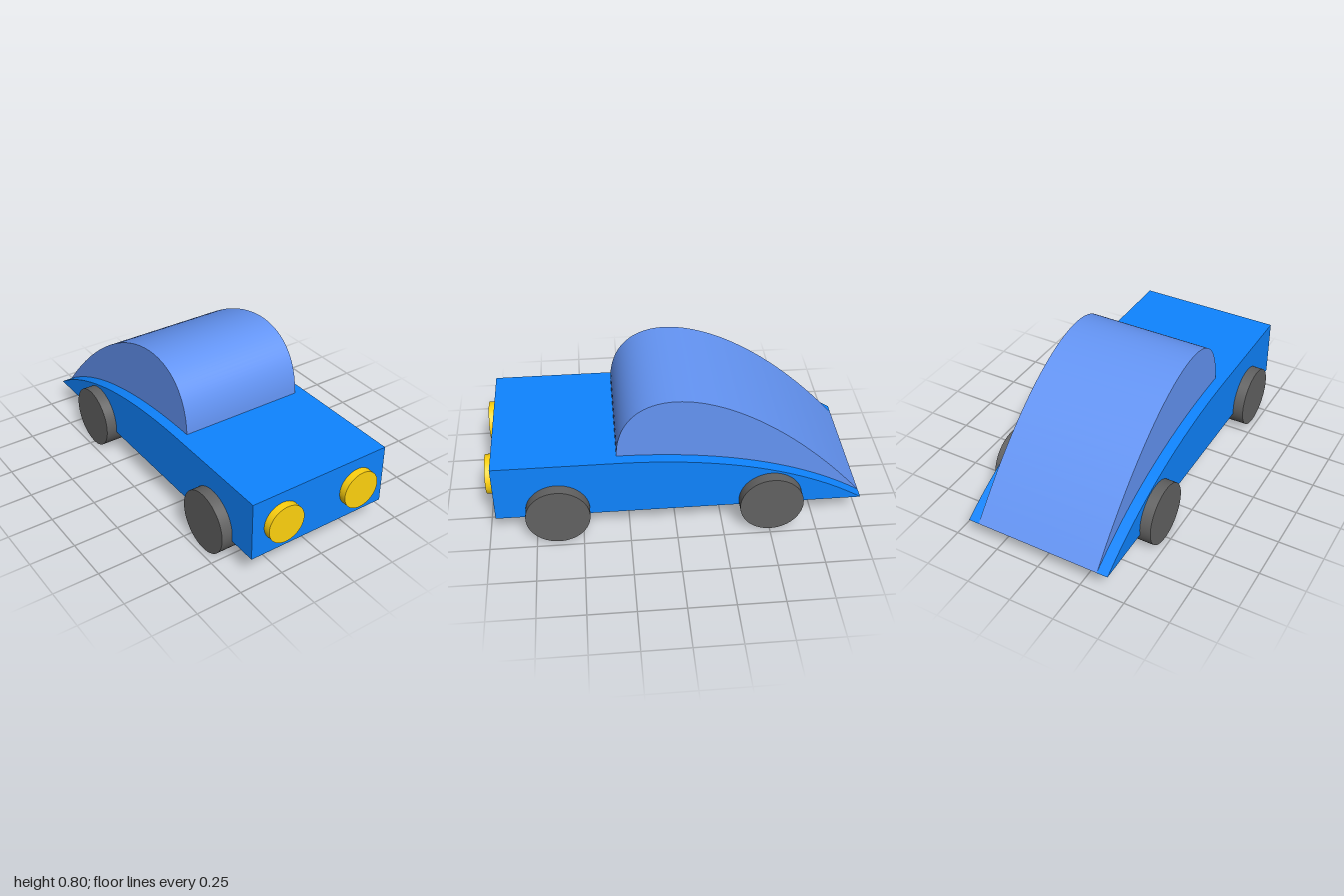
import * as THREE from 'three';
import { toCreasedNormals } from 'three/addons/utils/BufferGeometryUtils.js';

const paint = (color) => new THREE.MeshStandardMaterial({ color });

// Side profile drawn as (z, y), extruded across the car's width and centred on x
function profileGeometry(shape, width) {
  const geo = new THREE.ExtrudeGeometry(shape, { depth: width, bevelEnabled: false, curveSegments: 48 });
  geo.translate(0, 0, -width / 2);
  geo.rotateY(-Math.PI / 2);
  return toCreasedNormals(geo, Math.PI / 6);
}

export function createModel() {
  const car = new THREE.Group();
  car.name = 'car';

  const add = (name, geometry, material, x = 0, y = 0, z = 0) => {
    const mesh = new THREE.Mesh(geometry, material);
    mesh.name = name;
    mesh.position.set(x, y, z);
    car.add(mesh);
  };

  // Body: flat bonnet, then a curve sweeping down to a sharp tail
  const body = new THREE.Shape();
  body.moveTo(-1, 0.135);
  body.lineTo(0.96, 0.135);
  body.lineTo(0.96, 0.467);
  body.lineTo(0.31, 0.467);
  body.quadraticCurveTo(-0.5, 0.467, -1, 0.135);
  add('body', profileGeometry(body, 0.82), paint(0x0e84ff));

  // Cabin: rounded teardrop, its straight underside sunk into the body
  const cabin = new THREE.Shape();
  cabin.moveTo(0.31, 0.467);
  cabin.bezierCurveTo(0.3, 0.95, -0.31, 0.95, -1, 0.135);
  cabin.closePath();
  add('cabin', profileGeometry(cabin, 0.7), paint(0x6495f5));

  // Wheels and headlights, mirrored left and right
  const wheelGeo = new THREE.CylinderGeometry(0.17, 0.17, 0.12, 64).rotateZ(Math.PI / 2);
  const lightGeo = new THREE.CylinderGeometry(0.106, 0.106, 0.04, 64).rotateX(Math.PI / 2);
  const wheelPaint = paint(0x626262);
  const lightPaint = paint(0xffd20f);
  for (const [side, s] of [['left', 1], ['right', -1]]) {
    add(`${side}FrontWheel`, wheelGeo, wheelPaint, s * 0.41, 0.17, 0.63);
    add(`${side}RearWheel`, wheelGeo, wheelPaint, s * 0.41, 0.17, -0.505);
    add(`${side}Headlight`, lightGeo, lightPaint, s * 0.234, 0.3, 0.98);
  }

  return car;
}
